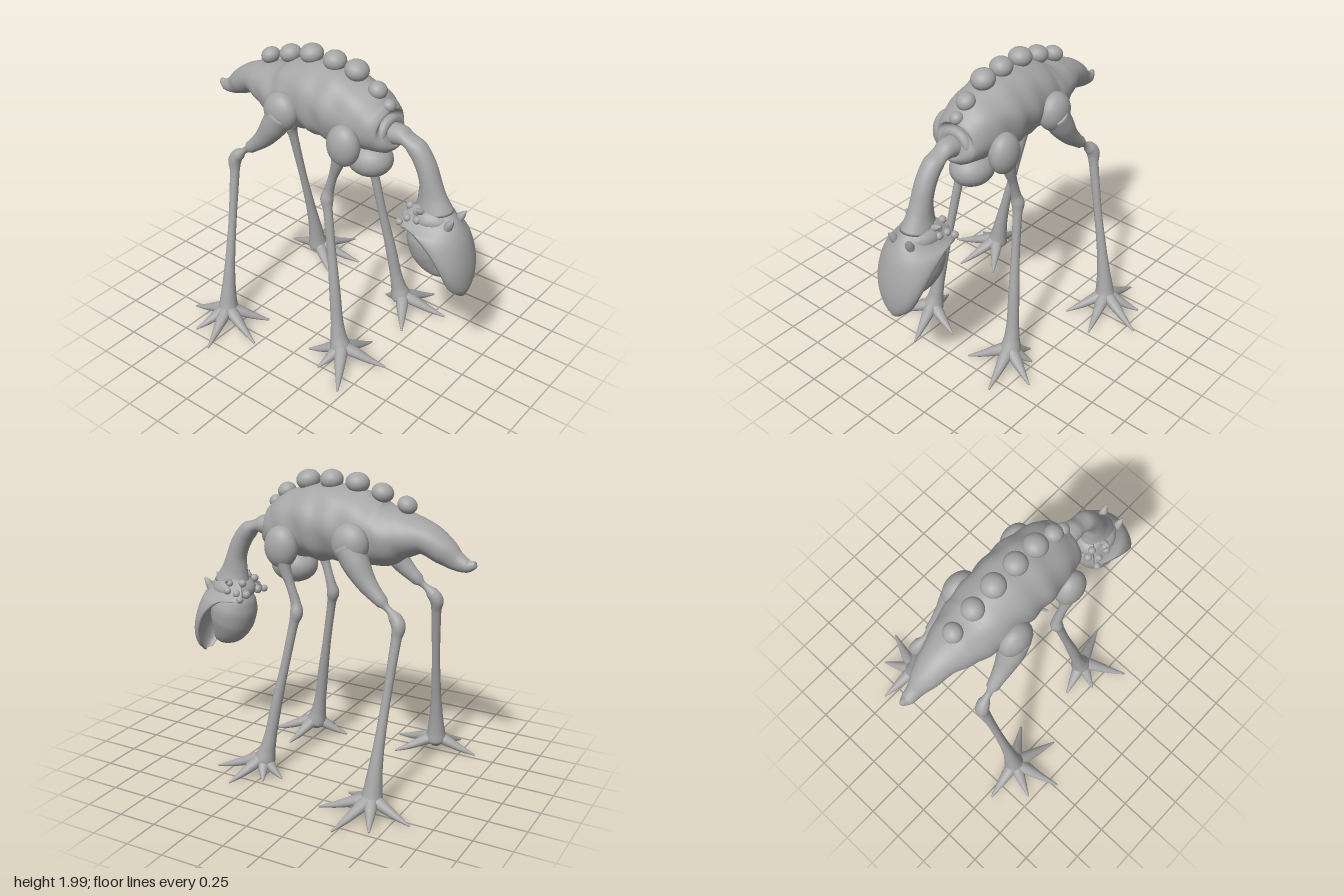
import * as THREE from 'three';

const hide = new THREE.MeshStandardMaterial({ color: 0xa6a6a6 });
hide.name = 'grey hide';
const V = (x, y, z) => new THREE.Vector3(x, y, z);

// Skin a list of closed rings and close both ends
function loft(rings) {
  const n = rings[0].length, pos = [], idx = [];
  const push = (p) => pos.push(p.x, p.y, p.z);
  rings.forEach((r) => r.forEach(push));
  for (let i = 0; i < rings.length - 1; i++) {
    for (let j = 0; j < n; j++) {
      const k = (j + 1) % n, a = i * n + j, b = i * n + k;
      idx.push(a, b, b + n, a, b + n, a + n);
    }
  }
  [0, rings.length - 1].forEach((i) => {
    const c = pos.length / 3;
    push(rings[i].reduce((s, p) => s.add(p), V(0, 0, 0)).divideScalar(n));
    for (let j = 0; j < n; j++) {
      const a = i * n + j, b = i * n + ((j + 1) % n);
      if (i === 0) idx.push(c, b, a); else idx.push(c, a, b);
    }
  });
  const g = new THREE.BufferGeometry();
  g.setAttribute('position', new THREE.Float32BufferAttribute(pos, 3));
  g.setIndex(idx);
  g.computeVertexNormals();
  return g;
}

// Tube through stations [x, y, z, radius across, radius up]
function limb(stations, ref, steps, sides, ripple = () => 1) {
  const path = new THREE.CatmullRomCurve3(stations.map((s) => V(s[0], s[1], s[2])));
  const size = new THREE.CatmullRomCurve3(stations.map((s) => V(s[3], s[4] ?? s[3], 0)));
  const rings = [];
  for (let i = 0; i <= steps; i++) {
    const p = path.getPoint(i / steps), t = path.getTangent(i / steps), r = size.getPoint(i / steps);
    const side = ref.clone().cross(t).normalize(), up = t.clone().cross(side);
    rings.push(Array.from({ length: sides }, (_, j) => {
      const a = (j / sides) * Math.PI * 2, k = ripple(p, a);
      return p.clone().addScaledVector(side, Math.cos(a) * r.x * k).addScaledVector(up, Math.sin(a) * r.y * k);
    }));
  }
  return loft(rings);
}

const X = V(1, 0, 0), Y = V(0, 1, 0);

export function createModel() {
  const model = new THREE.Group();
  model.name = 'creature';
  const add = (name, geo, parent = model) => {
    const m = new THREE.Mesh(geo, hide);
    m.name = name;
    parent.add(m);
    return m;
  };
  const ball = (name, p, r, parent) => {
    const m = add(name, new THREE.SphereGeometry(1, 24, 16), parent);
    m.position.set(...p);
    m.scale.set(...r);
    return m;
  };

  // Ribbed body tapering to a stubby tail
  const body = [
    [0.41, 1.60, 0.08, 0.08], [0.38, 1.59, 0.15, 0.13], [0.3, 1.61, 0.19, 0.175], [0.2, 1.64, 0.21, 0.21],
    [0, 1.665, 0.233, 0.243], [-0.2, 1.67, 0.225, 0.233], [-0.4, 1.635, 0.208, 0.198], [-0.55, 1.65, 0.172, 0.145],
    [-0.68, 1.645, 0.122, 0.1], [-0.8, 1.58, 0.09, 0.085], [-0.88, 1.53, 0.055, 0.06],
    [-0.95, 1.51, 0.042, 0.04], [-1, 1.525, 0.015, 0.02],
  ].map(([z, y, rx, ry]) => [0, y, z, rx, ry]);
  add('body', limb(body, Y, 120, 48, (p, a) => {
    const fade = THREE.MathUtils.smoothstep(p.z, -0.75, -0.4) * (1 - THREE.MathUtils.smoothstep(p.z, 0.25, 0.38));
    return 1 + fade * (0.025 * Math.sin(p.z * 38 + 0.8 * Math.sin(a * 2)) * (1 - 0.7 * Math.max(0, Math.sin(a)))
      + 0.012 * Math.sin(a * 7 + p.z * 14));
  }));
  ball('chestSac', [0, 1.36, 0.235], [0.137, 0.115, 0.155]);
  add('neckSocket', new THREE.TorusGeometry(0.09, 0.033, 14, 32)).position.set(0, 1.575, 0.375);

  // Row of beads along the spine: z, y, radius, half height
  [[0.37, 1.76, 0.042, 0.038], [0.285, 1.835, 0.06, 0.052], [0.13, 1.92, 0.077, 0.064], [-0.035, 1.937, 0.074, 0.063],
    [-0.215, 1.935, 0.076, 0.062], [-0.385, 1.89, 0.07, 0.058], [-0.55, 1.832, 0.062, 0.052],
  ].forEach(([z, y, r, h]) => {
    ball('spineBead', [0, y, z], [r, h, r]).rotation.x = (0.0 + z + 0.1) * 1.1;
  });

  // Arched neck
  add('neck', limb([
    [0, 1.53, 0.3, 0.075], [0, 1.585, 0.4, 0.07], [0, 1.59, 0.48, 0.06, 0.066], [0, 1.545, 0.575, 0.06, 0.066],
    [0, 1.46, 0.64, 0.063, 0.066], [0, 1.36, 0.68, 0.066, 0.068], [0, 1.26, 0.7, 0.09, 0.075], [0, 1.16, 0.72, 0.13, 0.1],
  ], X, 48, 28));

  // Head: skull, hooded upper bill and round lower bill
  const head = new THREE.Group();
  head.name = 'head';
  model.add(head);
  ball('skull', [0, 1.13, 0.71], [0.135, 0.085, 0.15], head);
  // Rows: ridge y, ridge z, edge half width, edge y, edge z
  const rows = [
    [1.235, 0.78, 0.08, 1.2, 0.61], [1.15, 0.875, 0.155, 1.09, 0.57], [1.05, 0.94, 0.198, 1.075, 0.70],
    [0.92, 0.98, 0.198, 0.98, 0.82], [0.8, 0.997, 0.168, 0.84, 0.895], [0.7, 0.993, 0.112, 0.72, 0.92],
    [0.645, 0.975, 0.04, 0.65, 0.935],
  ];
  const ridge = new THREE.CatmullRomCurve3(rows.map((r) => V(0, r[0], r[1])));
  const edge = new THREE.CatmullRomCurve3(rows.map((r) => V(r[2], r[3], r[4])));
  const hood = [];
  for (let i = 0; i <= 40; i++) {
    const top = ridge.getPoint(i / 40), rim = edge.getPoint(i / 40), ring = [];
    const n = 24, arc = (j, w, depth) => {
      const a = (0.5 - j / n) * Math.PI, c = Math.cos(a);
      return V(Math.sin(a) * rim.x * w, rim.y + (top.y - rim.y) * c * depth, rim.z + (top.z - rim.z) * c * depth);
    };
    for (let j = 0; j <= n; j++) ring.push(arc(j, 1, 1));
    for (let j = n; j >= 0; j--) ring.push(arc(j, 0.88, 0.72));
    hood.push(ring);
  }
  add('upperBill', loft(hood), head);
  add('lowerBill', limb([
    [0, 1.13, 0.69, 0.08, 0.09], [0, 1.06, 0.70, 0.135, 0.14], [0, 0.98, 0.715, 0.155, 0.16], [0, 0.9, 0.735, 0.15, 0.15],
    [0, 0.83, 0.77, 0.125, 0.12], [0, 0.78, 0.815, 0.08, 0.085], [0, 0.75, 0.855, 0.03, 0.035],
  ], X, 36, 32), head);

  // Knobs, brow spikes and cheek spikes on both sides of the head
  for (const s of [1, -1]) {
    [[0.075, 1.19, 0.595, 0.026], [0.125, 1.14, 0.68, 0.026], [0.125, 1.13, 0.61, 0.025],
      [0.07, 1.115, 0.57, 0.028], [0.115, 1.19, 0.67, 0.022], [0.15, 1.1, 0.57, 0.024],
    ].forEach(([x, y, z, r]) => ball('headKnob', [s * x, y, z], [r, r, r], head));
    add('browSpike', limb([[s * 0.06, 1.11, 0.85, 0.03], [s * 0.066, 1.155, 0.875, 0.024], [s * 0.072, 1.19, 0.9, 0.004]], X, 10, 12), head);
    add('cheekSpike', limb([[s * 0.08, 1.18, 0.69, 0.026], [s * 0.115, 1.2, 0.685, 0.02], [s * 0.145, 1.215, 0.68, 0.004]], Y, 10, 12), head);
  }

  // Legs as stations for the left side, with toe tips [x, z] for each side
  const legs = [
    {
      name: 'front', joint: [[0.225, 1.53, 0.2], [0.085, 0.135, 0.112]],
      path: [[0.23, 1.52, 0.19, 0.07], [0.238, 1.41, 0.17, 0.042], [0.235, 1.28, 0.125, 0.028], [0.232, 1.18, 0.095, 0.032],
        [0.24, 1.12, 0.085, 0.042], [0.25, 1.05, 0.1, 0.03], [0.275, 0.8, 0.145, 0.028], [0.31, 0.5, 0.2, 0.036],
        [0.33, 0.3, 0.232, 0.04], [0.342, 0.18, 0.255, 0.052], [0.348, 0.1, 0.275, 0.07], [0.35, 0.055, 0.285, 0.035]],
      foot: [0.348, 0.285],
      left: [[0.6, 0.39], [0.43, 0.59], [0.39, 0.12], [0.12, 0.44], [0.48, 0.21]],
      right: [[0.62, 0.46], [0.25, 0.57], [0.41, 0.06], [0.1, 0.35], [0.52, 0.22]],
    },
    {
      name: 'back', joint: [[0.225, 1.61, -0.28], [0.09, 0.128, 0.122]],
      path: [[0.23, 1.6, -0.27, 0.09], [0.24, 1.5, -0.33, 0.085], [0.25, 1.39, -0.41, 0.062], [0.262, 1.29, -0.52, 0.04],
        [0.275, 1.215, -0.61, 0.04], [0.285, 1.17, -0.64, 0.044], [0.3, 1.09, -0.635, 0.032], [0.37, 0.75, -0.615, 0.027],
        [0.435, 0.45, -0.6, 0.034], [0.468, 0.28, -0.592, 0.046], [0.487, 0.16, -0.588, 0.06], [0.495, 0.1, -0.585, 0.07], [0.5, 0.055, -0.585, 0.035]],
      foot: [0.5, -0.585],
      left: [[0.815, -0.48], [0.535, -0.86], [0.59, -0.27], [0.34, -0.35], [0.72, -0.68]],
    },
  ];
  for (const leg of legs) {
    for (const s of [1, -1]) {
      const g = new THREE.Group();
      g.name = leg.name + (s > 0 ? 'LeftLeg' : 'RightLeg');
      model.add(g);
      const [[jx, jy, jz], r] = leg.joint;
      ball('joint', [s * jx, jy, jz], r, g);
      add('shank', limb(leg.path.map(([x, ...rest]) => [s * x, ...rest]), X, 60, 20), g);
      const [fx, fz] = leg.foot;
      for (const [tx, tz] of (s < 0 && leg.right) || leg.left) {
        const at = (k, y, w, h) => [s * (fx + (tx - fx) * k), y, fz + (tz - fz) * k, w, h];
        add('toe', limb([at(0, 0.115, 0.045, 0.045), at(0.3, 0.085, 0.04, 0.035), at(0.65, 0.045, 0.024, 0.022), at(1, 0.015, 0.006, 0.006)], Y, 14, 14), g);
      }
    }
  }
  return model;
}
